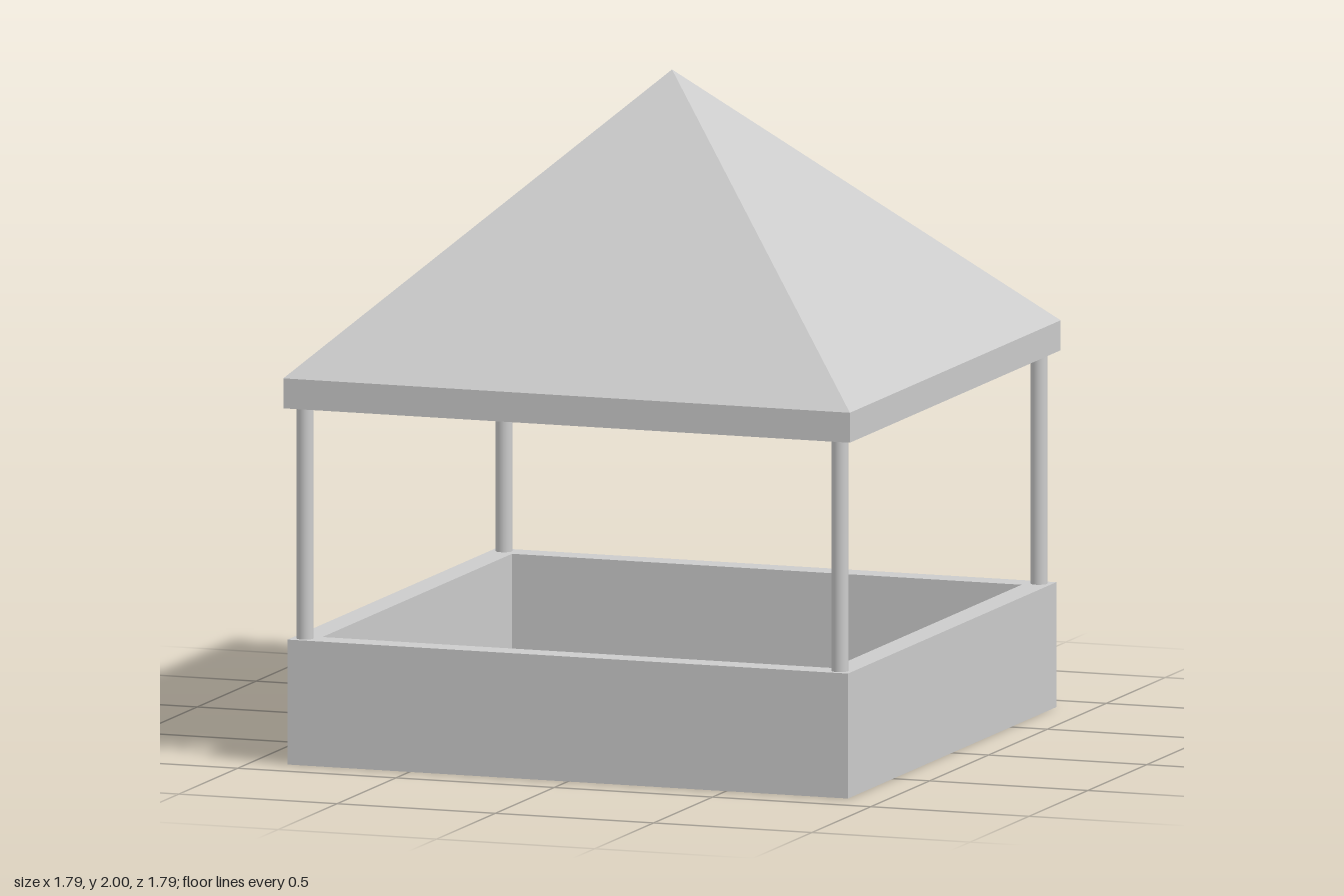
import * as THREE from 'three';

const material = new THREE.MeshStandardMaterial({ color: 0xcccccc });
const flat = new THREE.MeshStandardMaterial({ color: 0xcccccc, flatShading: true });

// Eight points around a square: corners and edge midpoints, each with its own reach
function ring(corner, mid, y, midY = y) {
  return Array.from({ length: 8 }, (_, i) => {
    const a = (i * Math.PI) / 4;
    const isCorner = i % 2 === 1;
    const r = isCorner ? corner * Math.SQRT2 : mid;
    return [r * Math.sin(a), isCorner ? y : midY, r * Math.cos(a)];
  });
}

// Join successive rings, running from the top outwards, down and back in underneath
function skin(rings) {
  const positions = [];
  const same = (p, q) => p.every((v, k) => Math.abs(v - q[k]) < 1e-6);
  const tri = (a, b, c) => {
    if (!same(a, b) && !same(b, c) && !same(a, c)) positions.push(...a, ...b, ...c);
  };
  for (let r = 0; r < rings.length - 1; r++) {
    const [upper, lower] = [rings[r], rings[r + 1]];
    for (let i = 0; i < 8; i++) {
      const j = (i + 1) % 8;
      tri(upper[i], lower[i], lower[j]);
      tri(upper[i], lower[j], upper[j]);
    }
  }
  const geometry = new THREE.BufferGeometry();
  geometry.setAttribute('position', new THREE.Float32BufferAttribute(positions, 3));
  geometry.computeVertexNormals();
  return geometry;
}

export function createModel() {
  const group = new THREE.Group();
  group.name = 'stall';
  const add = (name, geometry, mat, x, y, z) => {
    const mesh = new THREE.Mesh(geometry, mat);
    mesh.name = name;
    mesh.position.set(x, y, z);
    group.add(mesh);
    return mesh;
  };

  const half = 0.885, thick = 0.08, wallHeight = 0.375, eaveBottom = 1.07;
  const inset = half - thick / 2;

  // Four counter walls, butted end to side around an open floor
  const wall = new THREE.BoxGeometry(2 * half - thick, wallHeight, thick);
  ['front', 'left', 'back', 'right'].forEach((side, i) => {
    const a = (i * Math.PI) / 2;
    const pos = new THREE.Vector3(thick / 2, wallHeight / 2, inset)
      .applyAxisAngle(new THREE.Vector3(0, 1, 0), a);
    add(`${side}Wall`, wall, material, pos.x, pos.y, pos.z).rotation.y = a;
  });

  // Corner posts standing on the walls
  const postHeight = eaveBottom + 0.02 - wallHeight;
  const post = new THREE.CylinderGeometry(0.025, 0.025, postHeight, 20);
  for (const x of [-1, 1]) for (const z of [-1, 1]) {
    const name = `${z > 0 ? 'front' : 'back'}${x > 0 ? 'Left' : 'Right'}Post`;
    add(name, post, material, x * inset, wallHeight + postHeight / 2, z * inset);
  }

  // Pyramid roof with a square fascia and a shallow hollow ceiling
  add('roof', skin([
    ring(0, 0, 2),
    ring(0.895, 0.895, 1.16),
    ring(0.895, 0.895, eaveBottom),
    ring(0.82, 0.74, eaveBottom, eaveBottom - 0.004),
    ring(0, 0, 1.36),
  ]), flat, 0, 0, 0);

  return group;
}
